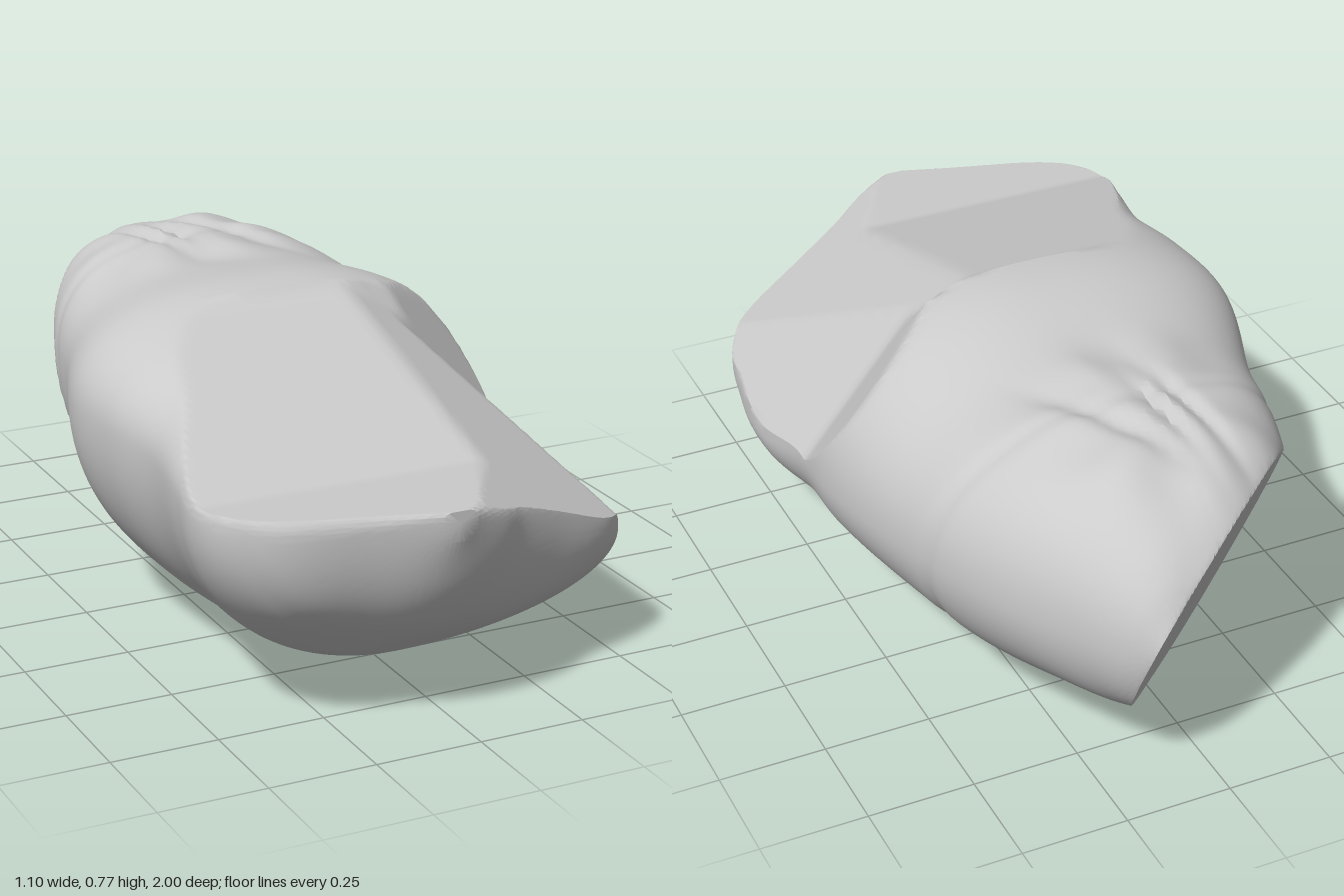
import * as THREE from 'three';
import { toCreasedNormals } from 'three/addons/utils/BufferGeometryUtils.js';

// Cross-sections along z:
// z, left x, right x, crown x, bottom y, top y, height of left edge, height of right edge
const stations = [
  [-1.0, 0.04, 0.18, 0.12, 0.33, 0.47, 0.42, 0.4],
  [-0.95, -0.06, 0.23, 0.1, 0.23, 0.56, 0.46, 0.4],
  [-0.85, -0.18, 0.3, 0.06, 0.15, 0.655, 0.48, 0.41],
  [-0.7, -0.29, 0.385, 0.03, 0.1, 0.72, 0.49, 0.41],
  [-0.5, -0.37, 0.46, 0.0, 0.04, 0.74, 0.48, 0.4],
  [-0.3, -0.42, 0.5, 0.0, 0.03, 0.73, 0.48, 0.37],
  [0.0, -0.52, 0.54, 0.0, 0.01, 0.765, 0.5, 0.34],
  [0.2, -0.52, 0.53, 0.0, 0.0, 0.75, 0.51, 0.3],
  [0.4, -0.5, 0.55, 0.0, 0.01, 0.72, 0.51, 0.25],
  [0.6, -0.53, 0.53, -0.02, 0.055, 0.69, 0.51, 0.24],
  [0.72, -0.55, 0.5, -0.05, 0.11, 0.66, 0.51, 0.3],
  [0.8, -0.535, 0.41, -0.06, 0.16, 0.63, 0.51, 0.35],
  [0.86, -0.49, 0.26, -0.08, 0.205, 0.6, 0.51, 0.4],
  [0.91, -0.41, 0.15, -0.09, 0.26, 0.57, 0.5, 0.44],
  [0.96, -0.24, 0.07, -0.08, 0.35, 0.55, 0.51, 0.48],
  [1.0, -0.1, -0.02, -0.06, 0.47, 0.54, 0.525, 0.52],
];
const loft = new THREE.CubicInterpolant(
  stations.map((s) => s[0]), stations.flatMap((s) => s.slice(1)), 7, new Float32Array(7));

// rear corner cut, leaning out over its foot
const cutNormal = new THREE.Vector3(-0.62, -0.36, -0.69).normalize();
const cutOffset = 0.42;

const bump = (d, width) => Math.exp(-(d * d) / (width * width));

function bodyPoint(z, t) {
  const [xl, xr, cx, yb, yt, yl, yr] = loft.evaluate(z);
  const c = Math.cos(t), s = Math.sin(t);
  let power = 1;
  if (s > 0) power = c > 0 ? 0.9 : 0.82;
  const reach = Math.sign(c) * Math.abs(c) ** power;
  const edgeY = c > 0 ? yr : yl;
  const p = new THREE.Vector3();
  p.x = cx + (c > 0 ? xr - cx : cx - xl) * reach;
  p.y = edgeY + (s > 0 ? yt - edgeY : edgeY - yb) * Math.sign(s) * Math.abs(s) ** power;
  p.z = z;

  // shallow seam around the rear cap
  const seam = 1 - 0.015 * bump(z + 0.37 + 0.18 * p.y, 0.02);
  p.x *= seam;
  p.y = 0.4 + (p.y - 0.4) * seam;

  // long folds gathered on the rear crown, and soft ripples spreading from them
  if (s > 0) {
    const dx = p.x + 0.05, dz = z + 0.57;
    const r = Math.hypot(dx, dz);
    p.y += s * 0.008 * Math.sin(7 * Math.atan2(dz, dx)) * bump(r - 0.24, 0.09);
    for (const [offset, lean, width] of [[-0.05, 0.15, 0.022], [0.02, 0.1, 0.022], [0.13, 0.5, 0.035]]) {
      p.y -= s * 0.02 * bump(dx - offset - lean * dz, width) * bump(dz, 0.16);
    }
  }

  // broad hollow under the front lip
  p.z -= 0.03 * Math.max(0, -s) * bump(p.x + 0.25, 0.12) * bump(z - 0.86, 0.1);

  // sloping cut on top, then two facets falling away to the left rim
  const top = Math.max(0.74 - 0.31 * (z - 0.1), 0.538);
  const shoulder = 0.69 - 0.54 * (p.x - 0.22) - 0.311 * (z - 0.1);
  const flank = 0.69 - 1.2 * (p.x - 0.22) - 0.05 * (z - 0.1);
  if (z > -0.2 && s > -0.3) {
    p.y = Math.min(
      p.y,
      top + 1.2 * Math.max(0, 0.1 - z),
      shoulder + 1.2 * Math.max(0, 0.1 - z),
      flank + 0.8 * Math.max(0, 0.15 - z));
  }

  // flat cut across the right rear corner
  const over = p.dot(cutNormal) - cutOffset;
  if (over > 0) p.addScaledVector(cutNormal, -over);
  return p;
}

function buildBody() {
  const rings = 160, sides = 144;
  const positions = [], index = [];
  for (let i = 0; i <= rings; i++) {
    const z = -Math.cos((Math.PI * i) / rings);
    for (let j = 0; j < sides; j++) {
      positions.push(...bodyPoint(z, (j / sides) * Math.PI * 2).toArray());
    }
  }
  for (let i = 0; i < rings; i++) {
    for (let j = 0; j < sides; j++) {
      const k = (j + 1) % sides;
      const a = i * sides + j, b = i * sides + k;
      index.push(a, b, a + sides, b, b + sides, a + sides);
    }
  }
  // close both ends with a fan
  for (const ring of [0, rings]) {
    const start = ring * sides, centre = positions.length / 3;
    const mid = new THREE.Vector3();
    for (let j = 0; j < sides; j++) {
      mid.add(new THREE.Vector3().fromArray(positions, (start + j) * 3));
    }
    positions.push(...mid.divideScalar(sides).toArray());
    for (let j = 0; j < sides; j++) {
      const a = start + j, b = start + ((j + 1) % sides);
      if (ring) index.push(centre, a, b);
      else index.push(centre, b, a);
    }
  }
  const geometry = new THREE.BufferGeometry();
  geometry.setAttribute('position', new THREE.Float32BufferAttribute(positions, 3));
  geometry.setIndex(index);
  return toCreasedNormals(geometry, 0.6);
}

export function createModel() {
  const group = new THREE.Group();
  group.name = 'cutShellForm';
  const body = new THREE.Mesh(buildBody(), new THREE.MeshStandardMaterial({ color: 0xcccccc }));
  body.name = 'body';
  group.add(body);
  return group;
}
